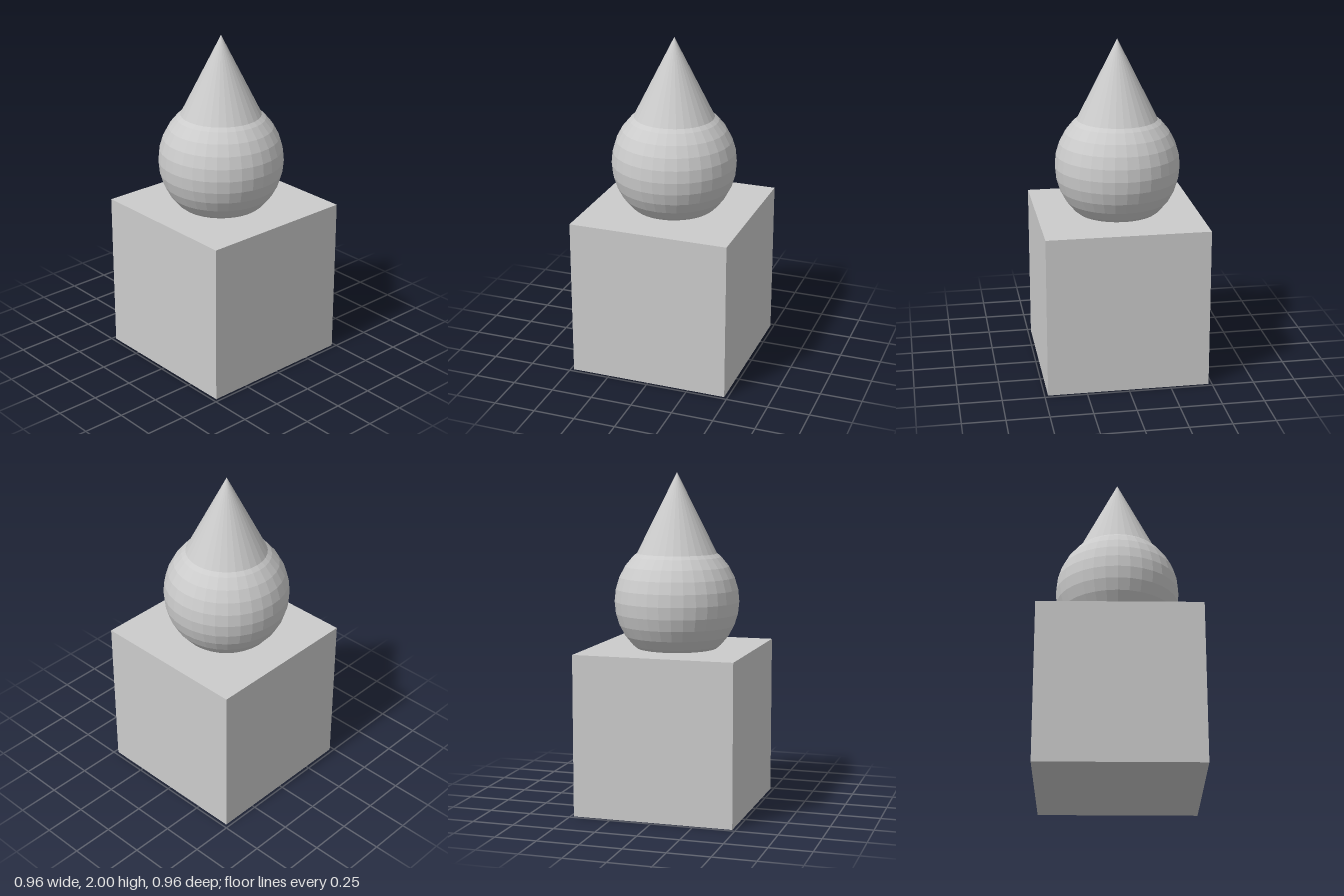
import * as THREE from 'three';

export function createModel() {
  const model = new THREE.Group();
  const material = new THREE.MeshStandardMaterial({ color: 0xcccccc, flatShading: true });

  const add = (name, geometry, x, y, z) => {
    const mesh = new THREE.Mesh(geometry, material);
    mesh.name = name;
    mesh.position.set(x, y, z);
    model.add(mesh);
  };

  // Cube pedestal
  const side = 0.96;
  add('pedestal', new THREE.BoxGeometry(side, side, side), 0, side / 2, 0);

  // Faceted ball sunk into the pedestal, slightly off centre
  const offset = -0.01;
  add('ball', new THREE.SphereGeometry(0.372, 32, 16), offset, 1.24, offset);

  // Cone spike rising out of the ball, its base buried inside
  const height = 0.73;
  add('spike', new THREE.ConeGeometry(height / 2, height, 32), offset, 2 - height / 2, offset);

  return model;
}
